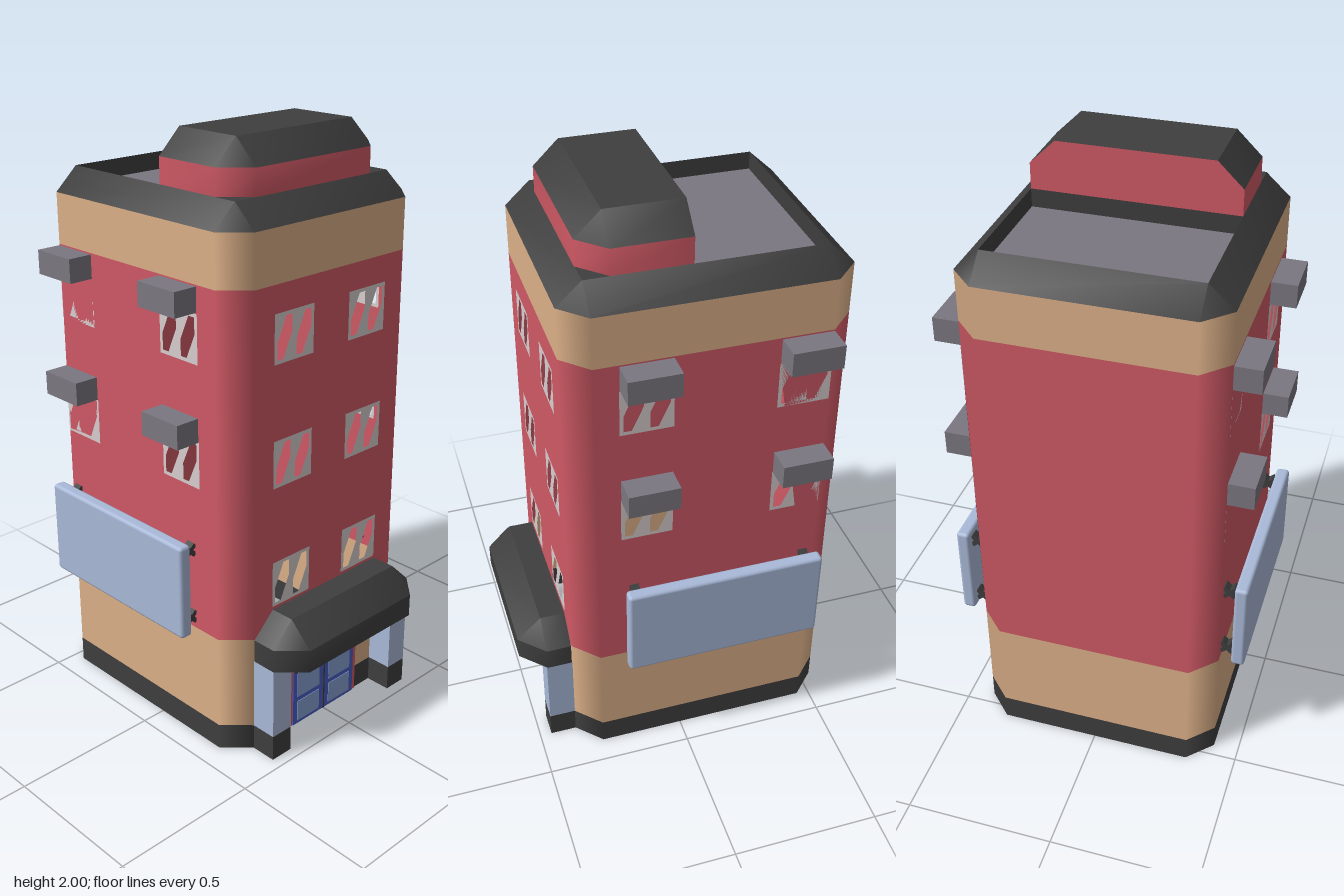
import * as THREE from 'three';
import { toCreasedNormals } from 'three/addons/utils/BufferGeometryUtils.js';
import { RoundedBoxGeometry } from 'three/addons/geometries/RoundedBoxGeometry.js';

const paint = (name, color, side = THREE.DoubleSide) =>
  Object.assign(new THREE.MeshStandardMaterial({ color, side }), { name });

const W = 0.415, ZB = -0.54, ZF = 0.37, C = 0.082; // tower footprint and corner cut

// Footprint with cut corners, counter-clockwise seen from above: [x, z]
const octagon = (w, zb, zf, c) => [
  [-w + c, zf], [w - c, zf], [w, zf - c], [w, zb + c],
  [w - c, zb], [-w + c, zb], [-w, zb + c], [-w, zf - c]];
const WALL_NORMALS = [[0, 1], [0, 1], [1, 0], [1, 0], [0, -1], [0, -1], [-1, 0], [-1, 0]];

// Footprint with only the front corners cut, open at the back
const bay = (w, zb, zf, c) => [
  [-w, zb], [-w, zf - c], [-w + c, zf], [w - c, zf], [w, zf - c], [w, zb]];

// Skin between two footprints at heights y0 and y1
function band(a, b, y0, y1, { closed = true, skip = [], normals } = {}) {
  const n = a.length, pos = [], nor = [], idx = [];
  for (let i = 0; i < n; i++) {
    pos.push(a[i][0], y0, a[i][1], b[i][0], y1, b[i][1]);
    if (normals) for (let k = 0; k < 2; k++) nor.push(normals[i][0], 0, normals[i][1]);
  }
  for (let i = 0; i < (closed ? n : n - 1); i++) {
    if (skip.includes(i)) continue;
    const p = 2 * i, q = 2 * ((i + 1) % n);
    idx.push(p, q, q + 1, p, q + 1, p + 1);
  }
  const g = new THREE.BufferGeometry();
  g.setAttribute('position', new THREE.Float32BufferAttribute(pos, 3));
  g.setIndex(idx);
  if (!normals) return toCreasedNormals(g, 0.9);
  g.setAttribute('normal', new THREE.Float32BufferAttribute(nor, 3));
  return g;
}

const polygon = (pts, Type = THREE.Shape) => new Type(pts.map(p => new THREE.Vector2(...p)));
const rect = (l, r, b, t) => [[l, b], [r, b], [r, t], [l, t]];

// Flat horizontal sheet over a footprint
function sheet(pts, y) {
  const g = new THREE.ShapeGeometry(polygon(pts.map(([x, z]) => [x, -z])));
  return g.rotateX(-Math.PI / 2).translate(0, y, 0);
}

export function createModel() {
  const model = new THREE.Group();
  model.name = 'building';
  const red = paint('red wall', 0xcf5965);
  const tan = paint('tan stone', 0xdcb088);
  const black = paint('black trim', 0x3e3e3e);
  const grey = paint('grey metal', 0x7b7780);
  const paleBlue = paint('pale blue', 0xa9b9d8);
  const blue = paint('blue door', 0x4a5cc4);
  const glass = paint('door glass', 0x88a0d2);
  const frame = paint('window frame', 0xd8cecf);

  const add = (name, geo, mat, parent = model) => {
    const m = new THREE.Mesh(geo, mat);
    m.name = name;
    parent.add(m);
    return m;
  };
  const box = (name, mat, x0, x1, y0, y1, z0, z1) => {
    const m = add(name, new THREE.BoxGeometry(x1 - x0, y1 - y0, z1 - z0), mat);
    m.position.set((x0 + x1) / 2, (y0 + y1) / 2, (z0 + z1) / 2);
    return m;
  };

  // Tower shell: coloured bands, hollow and open below
  const plan = octagon(W, ZB, ZF, C);
  const wall = (name, y0, y1, mat, skip) =>
    add(name, band(plan, plan, y0, y1, { normals: WALL_NORMALS, skip }), mat);
  wall('plinth', 0, 0.09, black);
  wall('groundFloor', 0.09, 0.42, tan);
  wall('upperWallBackAndCorners', 0.42, 1.59, red, [0, 2, 6]);
  wall('cornice', 1.59, 1.76, tan);

  // Window walls: openings filled by frames with a slanted gap in each leaf
  function windowWall(name, u0, u1, centres, rows) {
    const g = new THREE.Group();
    g.name = name;
    model.add(g);
    const shape = polygon(rect(u0, u1, 0.42, 1.59));
    for (const u of centres) for (const y of rows) {
      const edges = rect(u - 0.085, u + 0.085, y - 0.08, y + 0.08);
      shape.holes.push(polygon(edges, THREE.Path));
      const pane = polygon(edges);
      for (const l of [u - 0.073, u + 0.01]) {
        const r = l + 0.063, b = y - 0.068, t = y + 0.068;
        pane.holes.push(polygon([[l, b], [l + 0.026, b], [r, t - 0.055],
          [r, t], [r - 0.026, t], [l, b + 0.055]], THREE.Path));
      }
      add('window', new THREE.ShapeGeometry(pane), frame, g);
    }
    add('wall', new THREE.ShapeGeometry(shape), red, g);
    return g;
  }
  const rows = [1.42, 1.01];
  windowWall('frontWall', -W + C, W - C, [-0.165, 0.165], [...rows, 0.588]).position.z = ZF;
  for (const s of [1, -1]) {
    const ends = [-s * (ZF - C), -s * (ZB + C)].sort((a, b) => a - b);
    const side = windowWall(s > 0 ? 'leftWall' : 'rightWall', ...ends, [-s * 0.125, s * 0.375], rows);
    side.rotation.y = s * Math.PI / 2;
    side.position.x = s * W;

    // Hoods over the side windows
    for (const z of [0.125, -0.375]) for (const y of [1.545, 1.128])
      box('windowHood', grey, Math.min(s * W, s * 0.5), Math.max(s * W, s * 0.5),
        y - 0.04, y + 0.04, z - 0.083, z + 0.083);

    // Blank sign board on brackets
    add('signBoard', new RoundedBoxGeometry(0.045, 0.33, 0.67, 2, 0.012), paleBlue)
      .position.set(s * 0.4775, 0.585, -0.125);
    for (const z of [0.17, -0.42]) for (const y of [0.465, 0.71]) for (const tilt of [1, -1]) {
      const strut = add('signBracket', new THREE.BoxGeometry(0.055, 0.016, 0.03), black);
      strut.position.set(s * 0.435, y, z);
      strut.rotation.z = tilt * 0.75;
    }
  }

  // Roof: sloped rim, sunken floor and front deck
  add('roofRim', band(plan, octagon(W - C, ZB + C, ZF - C, 0), 1.76, 1.835), black);
  const well = rect(-0.333, 0.333, -0.458, -0.04).reverse();
  add('roofWellWalls', band(well, well, 1.775, 1.835), black);
  add('roofFloor', sheet(rect(-0.333, 0.333, -0.458, -0.04).reverse(), 1.775), grey);
  add('roofDeck', sheet(rect(-0.333, 0.333, -0.04, 0.288).reverse(), 1.835), black);

  // Bay-shaped block with a sloped cap
  function cappedBay(name, zb, zf, y0, y1, y2, wallMat) {
    const low = bay(0.333, zb, zf, 0.083), high = bay(0.25, zb, zf - 0.083, 0);
    add(name + 'Wall', band(low, low, y0, y1, { closed: false }), wallMat);
    add(name + 'Slope', band(low, high, y1, y2, { closed: false }), black);
    add(name + 'Top', sheet(rect(-0.25, 0.25, zb, zf - 0.083).reverse(), y2), black);
    const back = polygon([[-0.333, y0], [0.333, y0], [0.333, y1], [0.25, y2], [-0.25, y2], [-0.333, y1]]);
    add(name + 'Back', new THREE.ShapeGeometry(back).rotateY(Math.PI), wallMat).position.z = zb;
    return low;
  }
  cappedBay('penthouse', -0.04, 0.29, 1.835, 1.92, 2, red);
  const canopy = cappedBay('canopy', ZF + 0.002, 0.54, 0.34, 0.42, 0.5, black);
  add('canopyUnderside', sheet(canopy, 0.34), black);

  // Porch columns
  for (const s of [1, -1]) {
    const [a, b] = s > 0 ? [0.25, 0.333] : [-0.333, -0.25];
    box('columnBase', black, a, b, 0, 0.09, ZF, 0.46);
    box('column', paleBlue, a, b, 0.09, 0.34, ZF, 0.46);
  }

  // Double door
  box('doorSurround', red, -0.168, 0.168, 0, 0.215, ZF, ZF + 0.004);
  box('doorLintel', black, -0.148, 0.148, 0.21, 0.245, ZF, ZF + 0.012);
  box('doorLeaves', blue, -0.152, 0.152, 0, 0.212, ZF, ZF + 0.007);
  box('doorSeam', black, -0.003, 0.003, 0, 0.21, ZF, ZF + 0.009);
  for (const x of [-0.078, 0.078]) for (const [y0, y1] of [[0.012, 0.09], [0.108, 0.205]])
    box('doorPane', glass, x - 0.054, x + 0.054, y0, y1, ZF, ZF + 0.009);

  return model;
}
